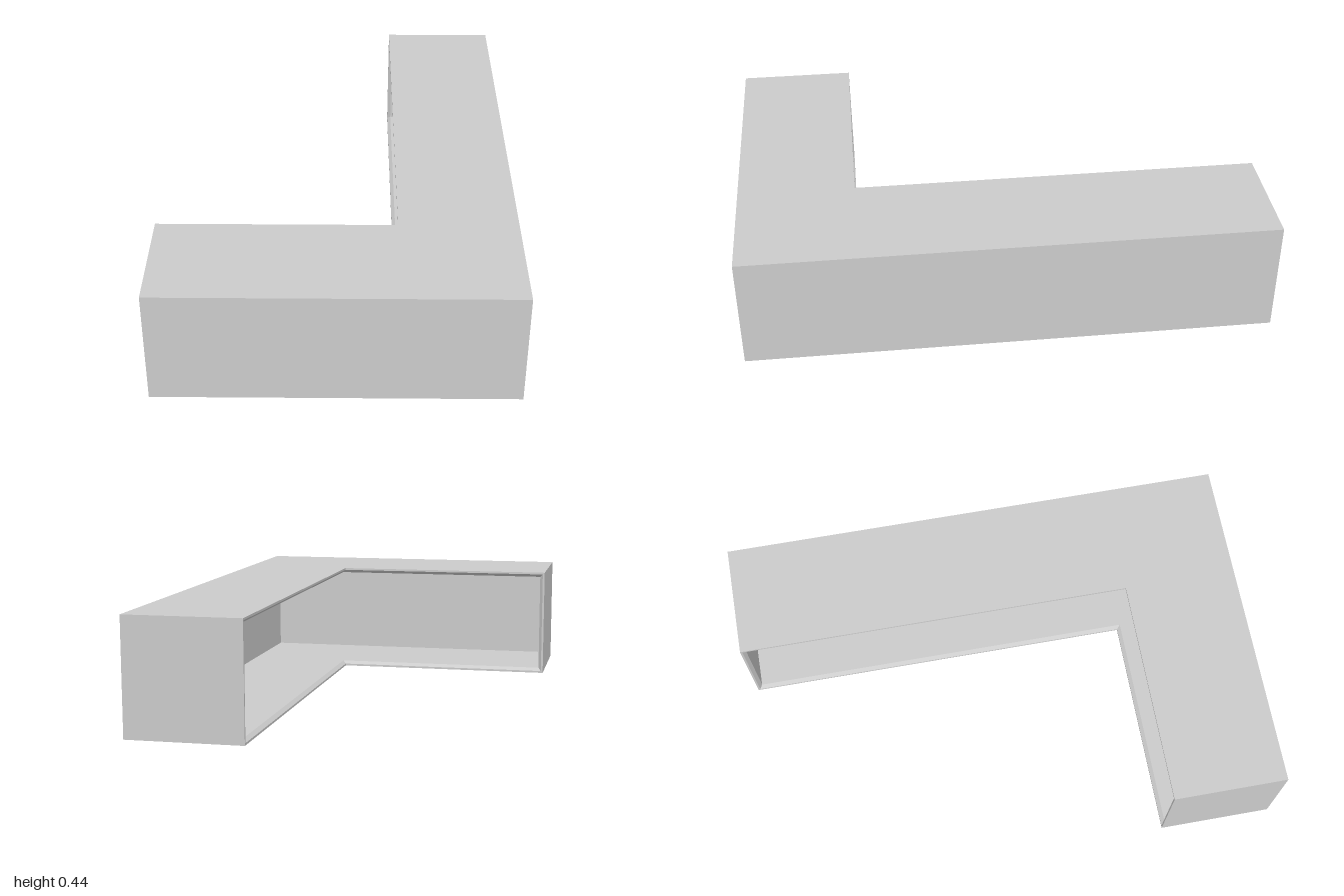
import * as THREE from 'three';

const HALF_X = 0.667, HALF_Z = 1; // half extents of the L plan
const W = 0.444, H = 0.444;       // leg width and height
const T = 0.02, LIP = 0.008, BEVEL = 0.014; // wall, rim and rim bevel

// Cross-section as [distance from outer wall, height, inset at the leg ends]
const PROFILE = [
  [W, 0, 0], [0, 0, 0], [0, H, 0], [W, H, 0],
  [W, H - LIP, LIP], [W - BEVEL, H - T, T], [T, H - T, T],
  [T, T, T], [W - BEVEL, T, T], [W, LIP, LIP],
];
// End wall faces: outside, rim, bevel, inside
const END_FACES = [[0, 1, 2, 3], [0, 3, 4, 9], [9, 4, 5, 8], [8, 5, 6, 7]];

function createShellGeometry() {
  const backEnd = PROFILE.map(([d, y, e]) => [HALF_X - d, y, -HALF_Z + e]);
  const corner = PROFILE.map(([d, y]) => [HALF_X - d, y, HALF_Z - d]);
  const sideEnd = PROFILE.map(([d, y, e]) => [-HALF_X + e, y, HALF_Z - d]);
  const positions = [];
  const quad = (a, b, c, d) => positions.push(...a, ...b, ...c, ...a, ...c, ...d);

  // Both legs, mitred at the corner
  for (const [from, to] of [[backEnd, corner], [corner, sideEnd]]) {
    PROFILE.forEach((_, i) => {
      const j = (i + 1) % PROFILE.length;
      quad(from[i], from[j], to[j], to[i]);
    });
  }
  // End walls
  for (const face of END_FACES) {
    quad(...face.map((i) => sideEnd[i]));
    quad(...[...face].reverse().map((i) => backEnd[i]));
  }

  const geometry = new THREE.BufferGeometry();
  geometry.setAttribute('position', new THREE.Float32BufferAttribute(positions, 3));
  geometry.computeVertexNormals();
  return geometry;
}

export function createModel() {
  const group = new THREE.Group();
  group.name = 'cornerShelf';
  const material = new THREE.MeshStandardMaterial({ color: 0xcccccc, flatShading: true });
  // Hollow L-shaped box, open along its two inner faces
  const shell = new THREE.Mesh(createShellGeometry(), material);
  shell.name = 'openShell';
  group.add(shell);
  return group;
}
